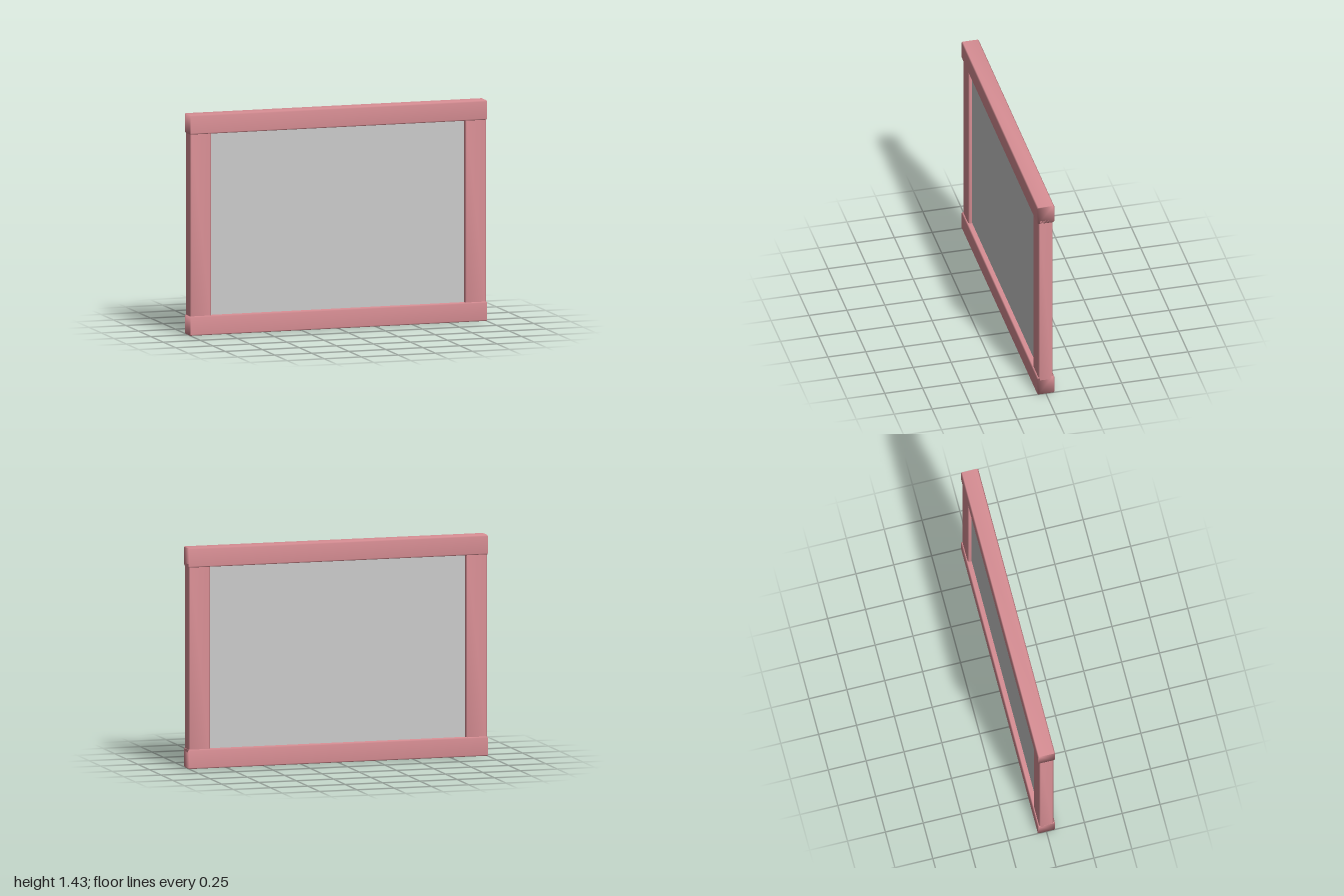
import * as THREE from 'three';
import { mergeVertices } from 'three/addons/utils/BufferGeometryUtils.js';

const W = 2, H = 1.427;            // overall width and height
const RAIL_H = 0.125, RAIL_D = 0.114;
const STILE_W = 0.143, STILE_D = 0.094;

const pink = new THREE.MeshStandardMaterial({ color: 0xd98f95 });
const grey = new THREE.MeshStandardMaterial({ color: 0xcccccc });

// Bar with chamfered long edges, running along z, smooth shared normals
function bar(width, depth, length, c = 0.008) {
  const a = width / 2, b = depth / 2;
  const shape = new THREE.Shape([
    [a, -b + c], [a, b - c], [a - c, b], [-a + c, b],
    [-a, b - c], [-a, -b + c], [-a + c, -b], [a - c, -b],
  ].map(([x, y]) => new THREE.Vector2(x, y)));
  let g = new THREE.ExtrudeGeometry(shape, { depth: length, bevelEnabled: false });
  g.translate(0, 0, -length / 2);
  g.deleteAttribute('normal');
  g.deleteAttribute('uv');
  g = mergeVertices(g, 1e-5);
  g.computeVertexNormals();
  return g;
}

export function createModel() {
  const group = new THREE.Group();
  group.name = 'framedPanel';
  const add = (name, geometry, material, x, y) => {
    const mesh = new THREE.Mesh(geometry, material);
    mesh.name = name;
    mesh.position.set(x, y, 0);
    group.add(mesh);
  };

  // Horizontal rails, slightly deeper than the uprights
  const rail = bar(RAIL_D, RAIL_H, W).rotateY(Math.PI / 2);
  add('bottomRail', rail, pink, 0, RAIL_H / 2);
  add('topRail', rail, pink, 0, H - RAIL_H / 2);

  // Uprights, tucked a little into the rails
  const stile = bar(STILE_W, STILE_D, H - 2 * RAIL_H + 0.04).rotateX(-Math.PI / 2);
  for (const [name, s] of [['leftStile', 1], ['rightStile', -1]]) {
    add(name, stile, pink, s * (W / 2 - STILE_W / 2), H / 2);
  }

  // Recessed panel, edges hidden inside the frame
  const panel = new THREE.BoxGeometry(W - 2 * STILE_W + 0.04, H - 2 * RAIL_H + 0.04, 0.044);
  add('panel', panel, grey, 0, H / 2);
  return group;
}
